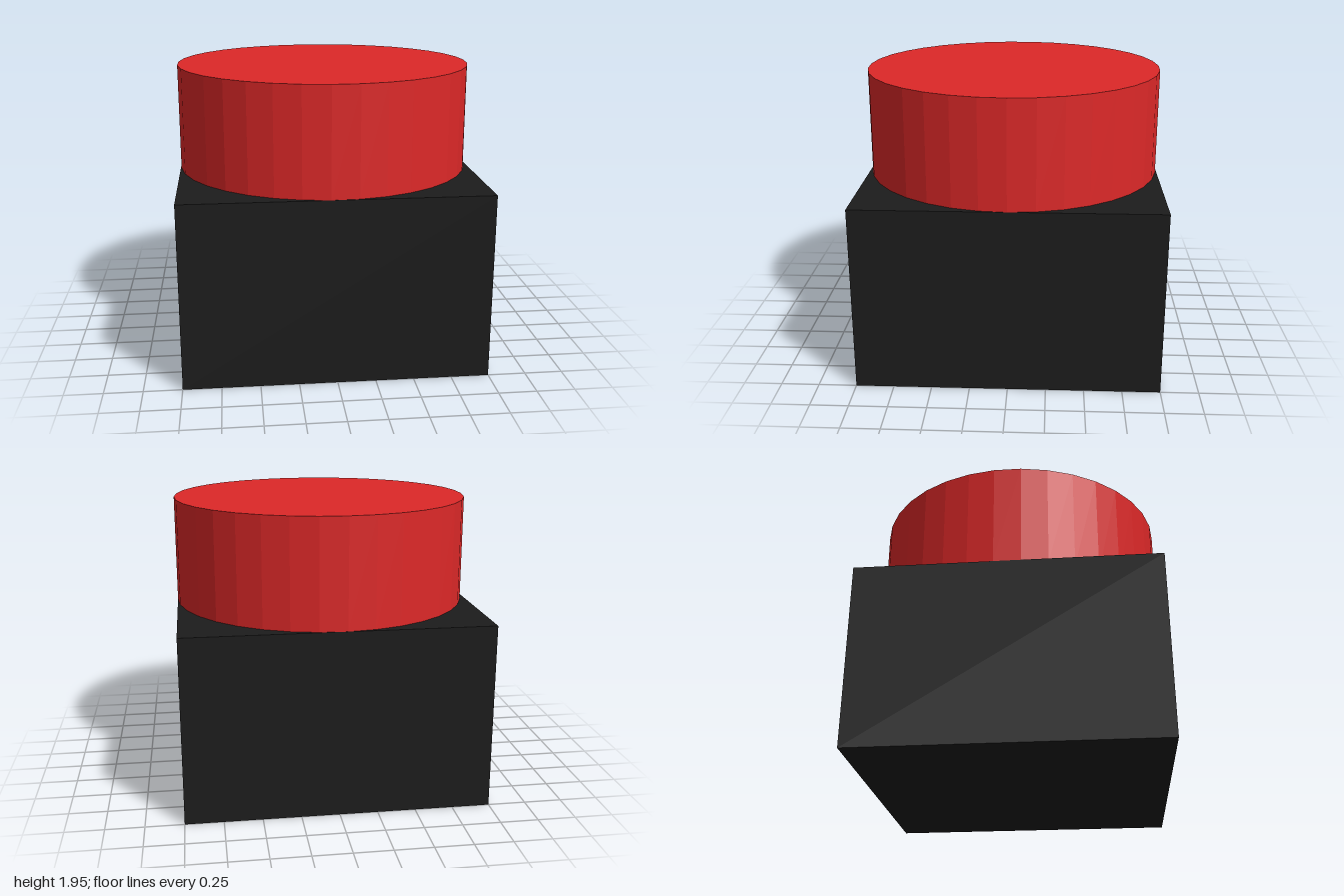
import * as THREE from 'three';

export function createModel() {
  const model = new THREE.Group();
  model.name = 'pushButton';

  const baseHeight = 1.235;
  const capHeight = 0.715;

  const add = (name, geometry, color, y) => {
    const material = new THREE.MeshStandardMaterial({ color, flatShading: true });
    const mesh = new THREE.Mesh(geometry, material);
    mesh.name = name;
    mesh.position.y = y;
    model.add(mesh);
  };

  // Square housing
  add('base', new THREE.BoxGeometry(2, baseHeight, 2), 0x1c1c1c, baseHeight / 2);

  // Faceted round cap, one corner pointing to +x
  const cap = new THREE.CylinderGeometry(1, 1, capHeight, 35, 1, false, Math.PI / 2);
  add('buttonCap', cap, 0xdd2828, baseHeight + capHeight / 2);

  return model;
}
